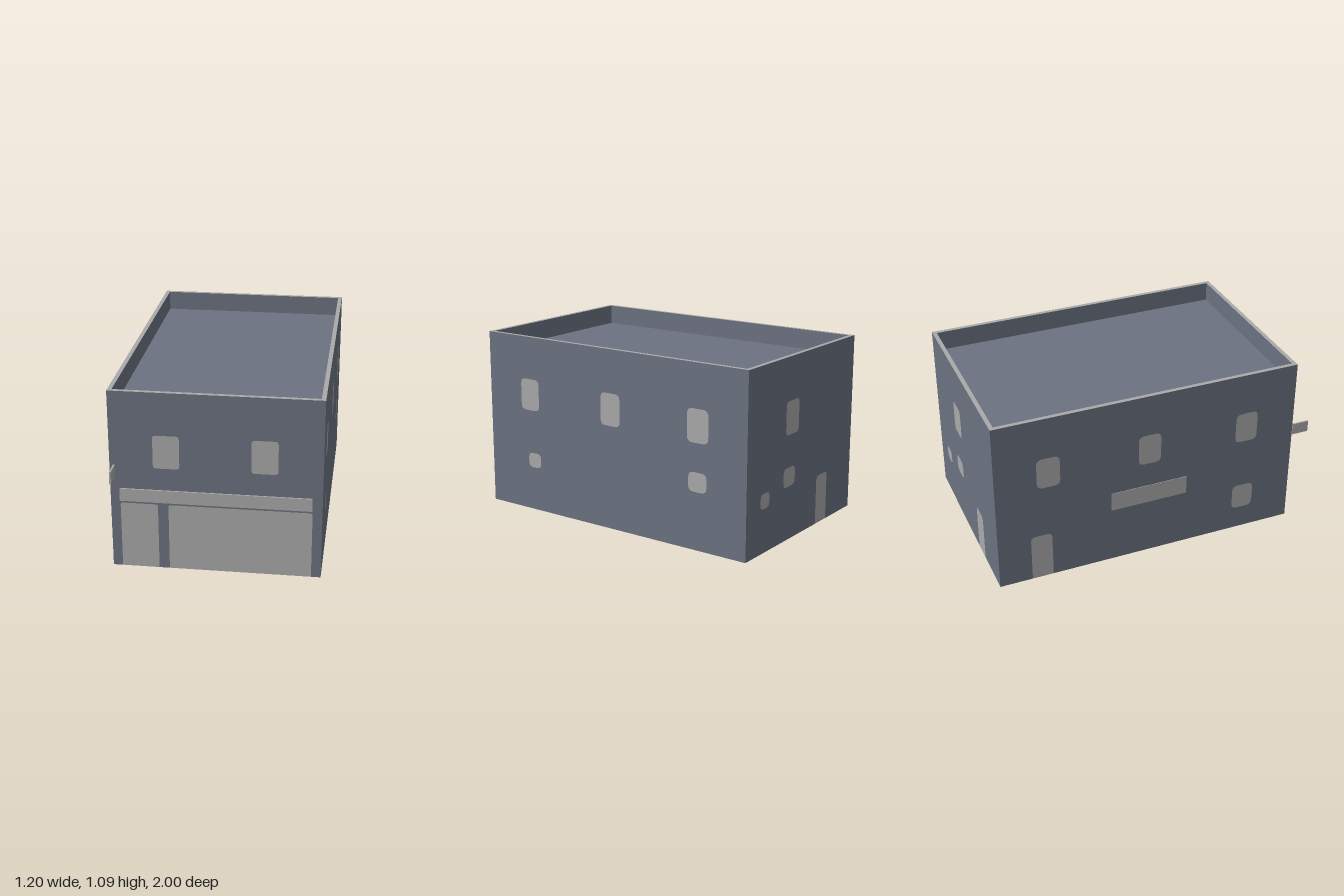
import * as THREE from 'three';

const W = 0.6, FRONT = 0.875, BACK = -1, H = 1.085, ROOF = 0.965, RIM = 0.025;

const wallPaint = new THREE.MeshStandardMaterial({ color: 0x6b7280, side: THREE.DoubleSide });
wallPaint.name = 'slate wall';
const paleGrey = new THREE.MeshStandardMaterial({ color: 0xaaaaaa, side: THREE.DoubleSide });
paleGrey.name = 'pale grey';

function add(parent, name, geometry, material) {
  const mesh = new THREE.Mesh(geometry, material);
  mesh.name = name;
  parent.add(mesh);
  return mesh;
}

// Rounded window outline
function windowPath(path, [x0, x1, y0, y1, r]) {
  path.moveTo(x0 + r, y0);
  path.lineTo(x1 - r, y0).quadraticCurveTo(x1, y0, x1, y0 + r);
  path.lineTo(x1, y1 - r).quadraticCurveTo(x1, y1, x1 - r, y1);
  path.lineTo(x0 + r, y1).quadraticCurveTo(x0, y1, x0, y1 - r);
  path.lineTo(x0, y0 + r).quadraticCurveTo(x0, y0, x0 + r, y0);
  return path;
}

// Door outline, open at the ground, continuing from the current point
function doorPath(path, [x0, x1, h, r]) {
  path.lineTo(x0, h - r).quadraticCurveTo(x0, h, x0 + r, h);
  path.lineTo(x1 - r, h).quadraticCurveTo(x1, h, x1, h - r);
  path.lineTo(x1, 0);
  return path;
}

// One thin wall with flush window and door panels
function buildWall(name, u0, u1, windows, doors) {
  const wall = new THREE.Group();
  wall.name = name;
  const outline = new THREE.Shape().moveTo(u0, 0);
  for (const d of doors) {
    outline.lineTo(d[0], 0);
    doorPath(outline, d);
    add(wall, 'door', new THREE.ShapeGeometry(doorPath(new THREE.Shape().moveTo(d[0], 0), d), 4), paleGrey);
  }
  outline.lineTo(u1, 0).lineTo(u1, H).lineTo(u0, H).lineTo(u0, 0);
  for (const w of windows) {
    outline.holes.push(windowPath(new THREE.Path(), w));
    add(wall, 'window', new THREE.ShapeGeometry(windowPath(new THREE.Shape(), w), 4), paleGrey);
  }
  add(wall, 'wallFace', new THREE.ShapeGeometry(outline, 4), wallPaint);
  return wall;
}

// Box given by its limits on each axis
function boxPart(parent, name, [x0, x1], [y0, y1], [z0, z1]) {
  const mesh = add(parent, name, new THREE.BoxGeometry(x1 - x0, y1 - y0, z1 - z0), paleGrey);
  mesh.position.set((x0 + x1) / 2, (y0 + y1) / 2, (z0 + z1) / 2);
}

export function createModel() {
  const model = new THREE.Group();
  model.name = 'shopBuilding';

  // Four outer walls: windows are [u0, u1, y0, y1, radius], doors [u0, u1, height, radius]
  const front = buildWall('frontWall', -W, W,
    [[-0.353, -0.203, 0.63, 0.83, 0.02], [0.2, 0.35, 0.63, 0.83, 0.02]],
    [[-0.545, -0.33, 0.405, 0.015], [-0.27, 0.545, 0.405, 0.015]]);
  front.position.z = FRONT;

  const left = buildWall('leftWall', -FRONT, -BACK, [
    [-0.625, -0.485, 0.63, 0.825, 0.035],
    [-0.007, 0.133, 0.63, 0.825, 0.035],
    [0.605, 0.747, 0.63, 0.825, 0.035],
    [-0.577, -0.48, 0.27, 0.362, 0.03],
    [0.615, 0.738, 0.345, 0.46, 0.035]], []);
  left.position.x = W;
  left.rotation.y = Math.PI / 2;

  const back = buildWall('backWall', -W, W, [
    [-0.192, -0.05, 0.63, 0.828, 0.03],
    [-0.452, -0.358, 0.262, 0.352, 0.03],
    [-0.208, -0.08, 0.322, 0.437, 0.035]],
    [[0.18, 0.307, 0.3, 0.03]]);
  back.position.z = BACK;
  back.rotation.y = Math.PI;

  const right = buildWall('rightWall', BACK, FRONT, [
    [-0.75, -0.61, 0.63, 0.825, 0.035],
    [-0.13, 0.01, 0.63, 0.825, 0.035],
    [0.492, 0.632, 0.63, 0.825, 0.035],
    [0.492, 0.628, 0.147, 0.312, 0.035]],
    [[-0.8, -0.67, 0.3, 0.03]]);
  right.position.x = -W;
  right.rotation.y = -Math.PI / 2;
  model.add(front, left, back, right);

  // Roof deck sunk behind the parapet
  const midZ = (FRONT + BACK) / 2, depth = FRONT - BACK;
  const deck = add(model, 'roofDeck', new THREE.PlaneGeometry(2 * W, depth), wallPaint);
  deck.rotation.x = -Math.PI / 2;
  deck.position.set(0, ROOF, midZ);

  // Pale parapet rim
  const iw = W - RIM, id = depth / 2 - RIM;
  const rimShape = new THREE.Shape().moveTo(-W, -depth / 2).lineTo(W, -depth / 2).lineTo(W, depth / 2).lineTo(-W, depth / 2);
  rimShape.holes.push(new THREE.Path().moveTo(-iw, -id).lineTo(-iw, id).lineTo(iw, id).lineTo(iw, -id));
  const rim = add(model, 'parapetRim', new THREE.ShapeGeometry(rimShape), paleGrey);
  rim.rotation.x = -Math.PI / 2;
  rim.position.set(0, H, midZ);

  // Inner faces of the parapet
  for (let i = 0; i < 4; i++) {
    const alongX = i % 2 === 0, s = i < 2 ? 1 : -1;
    const inner = add(model, 'parapetInner', new THREE.PlaneGeometry(alongX ? 2 * iw : 2 * id, H - ROOF), wallPaint);
    inner.position.set(alongX ? 0 : s * iw, (H + ROOF) / 2, midZ + (alongX ? s * id : 0));
    inner.rotation.y = alongX ? (s > 0 ? Math.PI : 0) : -s * Math.PI / 2;
  }

  // Blank sign boards
  boxPart(model, 'shopSign', [-0.547, 0.543], [0.42, 0.497], [FRONT + 0.001, 0.885]);
  boxPart(model, 'hangingSign', [-0.575, -0.565], [0.578, 0.65], [0.893, 1]);
  boxPart(model, 'sideSign', [-0.604, -0.601], [0.358, 0.477], [-0.302, 0.178]);

  return model;
}
